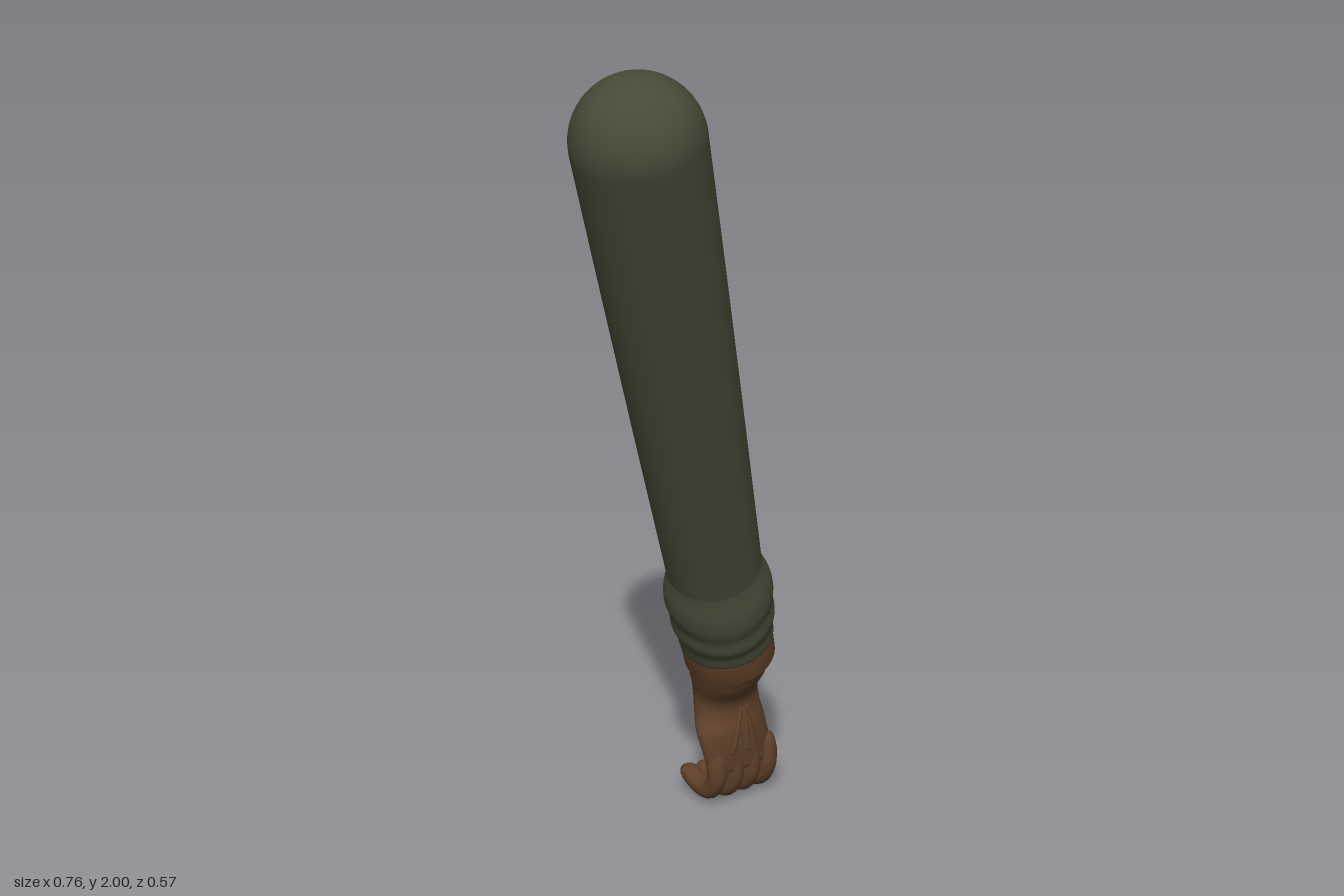
import * as THREE from 'three';
import { mergeVertices } from 'three/addons/utils/BufferGeometryUtils.js';

const V = (p) => new THREE.Vector3(...p);

// Surface of revolution around the arm axis; profile = [distance from shoulder, radius]
function sleeveLathe(profile) {
  const pts = profile.map(([s, r]) => new THREE.Vector2(r, -s)).reverse();
  return new THREE.LatheGeometry(pts, 48);
}

// Smooth tapered limb with rounded ends along a curve
function limb(points, radii, segs = 40, sides = 16) {
  const path = new THREE.CatmullRomCurve3(points.map(V));
  const len = path.getLength();
  const geo = new THREE.TubeGeometry(path, segs, 1, sides, false);
  const pos = geo.attributes.position;
  const nor = geo.attributes.normal;
  for (let i = 0; i <= segs; i++) {
    const t = i / segs;
    const c = path.getPointAt(t);
    const k = t * (radii.length - 1);
    const k0 = Math.min(Math.floor(k), radii.length - 2);
    let r = THREE.MathUtils.lerp(radii[k0], radii[k0 + 1], k - k0);
    const end = Math.min(t, 1 - t) * len;
    if (end < r) r = Math.sqrt(Math.max(0, r * r - (r - end) ** 2));
    for (let j = 0; j <= sides; j++) {
      const n = i * (sides + 1) + j;
      pos.setXYZ(n, c.x + nor.getX(n) * r, c.y + nor.getY(n) * r, c.z + nor.getZ(n) * r);
    }
  }
  return smooth(geo);
}

function smooth(geo) {
  geo.deleteAttribute('uv');
  geo.deleteAttribute('normal');
  const merged = mergeVertices(geo, 1e-5);
  merged.computeVertexNormals();
  return merged;
}

// Elliptical loft from top to bottom; section = [x, y, z, half width, half depth, tilt]
function loft(sections, rows = 36, sides = 40) {
  const a = new THREE.CatmullRomCurve3(sections.map((s) => V(s.slice(0, 3))));
  const b = new THREE.CatmullRomCurve3(sections.map((s) => V(s.slice(3))));
  const verts = [];
  const index = [];
  for (let i = 0; i <= rows; i++) {
    const c = a.getPoint(i / rows);
    const { x: rx, y: rz, z: tilt } = b.getPoint(i / rows);
    for (let j = 0; j < sides; j++) {
      const th = (j / sides) * Math.PI * 2;
      const u = Math.cos(th) * rx;
      const w = Math.sin(th) * rz;
      verts.push(c.x + u * Math.cos(tilt), c.y + u * Math.sin(tilt) - w * tilt * 0.55, c.z + w);
      if (i < rows) {
        const p = i * sides + j;
        const q = i * sides + ((j + 1) % sides);
        index.push(p, q, p + sides, q, q + sides, p + sides);
      }
    }
  }
  const geo = new THREE.BufferGeometry();
  geo.setAttribute('position', new THREE.Float32BufferAttribute(verts, 3));
  geo.setIndex(index);
  geo.computeVertexNormals();
  return geo;
}

export function createModel() {
  const model = new THREE.Group();
  const cloth = new THREE.MeshStandardMaterial({ color: 0x464a36 });
  cloth.name = 'olive cloth';
  const leather = new THREE.MeshStandardMaterial({ color: 0x5f4029 });
  leather.name = 'brown leather';

  const add = (name, geo, mat, parent = model) => {
    const mesh = new THREE.Mesh(geo, mat);
    mesh.name = name;
    parent.add(mesh);
    return mesh;
  };

  // Slanted arm axis, from the shoulder down to the wrist
  const arm = new THREE.Group();
  arm.name = 'arm';
  arm.position.set(-0.235, 1.852, 0.137);
  arm.quaternion.setFromUnitVectors(
    new THREE.Vector3(0, -1, 0),
    new THREE.Vector3(0.293, -0.942, -0.164).normalize());
  model.add(arm);

  // Sleeve with a domed shoulder
  const dome = [];
  for (let i = 0; i <= 14; i++) {
    const t = (i / 14) * Math.PI / 2;
    dome.push([-0.148 * Math.cos(t), 0.148 * Math.sin(t)]);
  }
  add('sleeve', sleeveLathe([...dome, [0.4, 0.138], [0.8, 0.127], [1.27, 0.113]]), cloth, arm);

  // Bunched sleeve end, with folds that drift around the arm
  const foldCurve = new THREE.SplineCurve([
    [1.2, 0.108], [1.25, 0.115], [1.3, 0.128], [1.34, 0.131], [1.375, 0.125],
    [1.41, 0.126], [1.44, 0.117], [1.475, 0.114], [1.482, 0.1],
  ].map((p) => new THREE.Vector2(...p)));
  const folds = sleeveLathe(foldCurve.getPoints(40).map((p) => [p.x, p.y]));
  const fp = folds.attributes.position;
  for (let i = 0; i < fp.count; i++) {
    const s = -fp.getY(i);
    const th = Math.atan2(fp.getZ(i), fp.getX(i));
    const fade = Math.sin(Math.PI * THREE.MathUtils.clamp((s - 1.2) / 0.28, 0, 1));
    fp.setY(i, -s + fade * 0.014 * Math.sin(2 * th + 0.6));
  }
  folds.computeVertexNormals();
  add('sleeveFolds', folds, cloth, arm);

  // Glove cuff band
  add('gloveCuff', sleeveLathe([
    [1.42, 0.1], [1.45, 0.109], [1.5, 0.112], [1.535, 0.111], [1.541, 0.108], [1.542, 0.09],
  ]), leather, arm);

  // Glove wrist and palm
  const hand = new THREE.Group();
  hand.name = 'hand';
  model.add(hand);
  add('palm', loft([
    [0.212, 0.415, -0.113, 0.108, 0.109, 0.3],
    [0.22, 0.36, -0.126, 0.098, 0.094, 0.3],
    [0.225, 0.3, -0.143, 0.085, 0.073, 0.2],
    [0.225, 0.25, -0.137, 0.089, 0.062, 0.1],
    [0.222, 0.2, -0.115, 0.099, 0.048, 0],
    [0.23, 0.14, -0.1, 0.098, 0.034, 0],
    [0.234, 0.1, -0.095, 0.09, 0.026, 0],
    [0.234, 0.085, -0.095, 0.03, 0.008, 0],
    [0.234, 0.084, -0.095, 0.001, 0.001, 0],
  ]), leather, hand);

  // Four fingers curled towards the palm
  const names = ['littleFinger', 'ringFinger', 'middleFinger', 'indexFinger'];
  names.forEach((name, i) => {
    const x = 0.161 + i * 0.0505;
    const r = 0.0245 + i * 0.0011;
    const low = i === 0 ? 0.008 : 0;
    add(name, limb([
      [x * 0.94 + 0.014, 0.165, -0.103], [x, 0.12, -0.095], [x, 0.07 + low, -0.094],
      [x, 0.034 + low, -0.12], [x, 0.03 + low, -0.165], [x - 0.003, 0.05 + low, -0.2],
      [x - 0.004, 0.068 + low, -0.207],
    ], [r * 0.95, r * 1.08, r * 0.96, r * 1.06, r * 0.98, r]), leather, hand);
  });

  // Thumb arching out to meet the index finger, with its fleshy base
  add('thumb', limb([
    [0.245, 0.29, -0.155], [0.29, 0.245, -0.19], [0.33, 0.195, -0.234],
    [0.339, 0.13, -0.25], [0.322, 0.07, -0.251], [0.3, 0.035, -0.243],
  ], [0.045, 0.045, 0.041, 0.034, 0.034, 0.028]), leather, hand);
  const base = add('thumbBase', new THREE.SphereGeometry(1, 28, 20), leather, hand);
  base.scale.set(0.042, 0.06, 0.05);
  base.position.set(0.282, 0.212, -0.165);

  // Raised seams fanning over the back of the hand
  for (const x of [0.19, 0.234, 0.278]) {
    add('backSeam', limb([
      [0.23 + (x - 0.234) * 0.15, 0.275, -0.079],
      [0.232 + (x - 0.234) * 0.6, 0.21, -0.069],
      [x, 0.145, x === 0.234 ? -0.067 : -0.07],
    ], [0.004, 0.006, 0.006], 24, 8), leather, hand);
  }
  return model;
}
